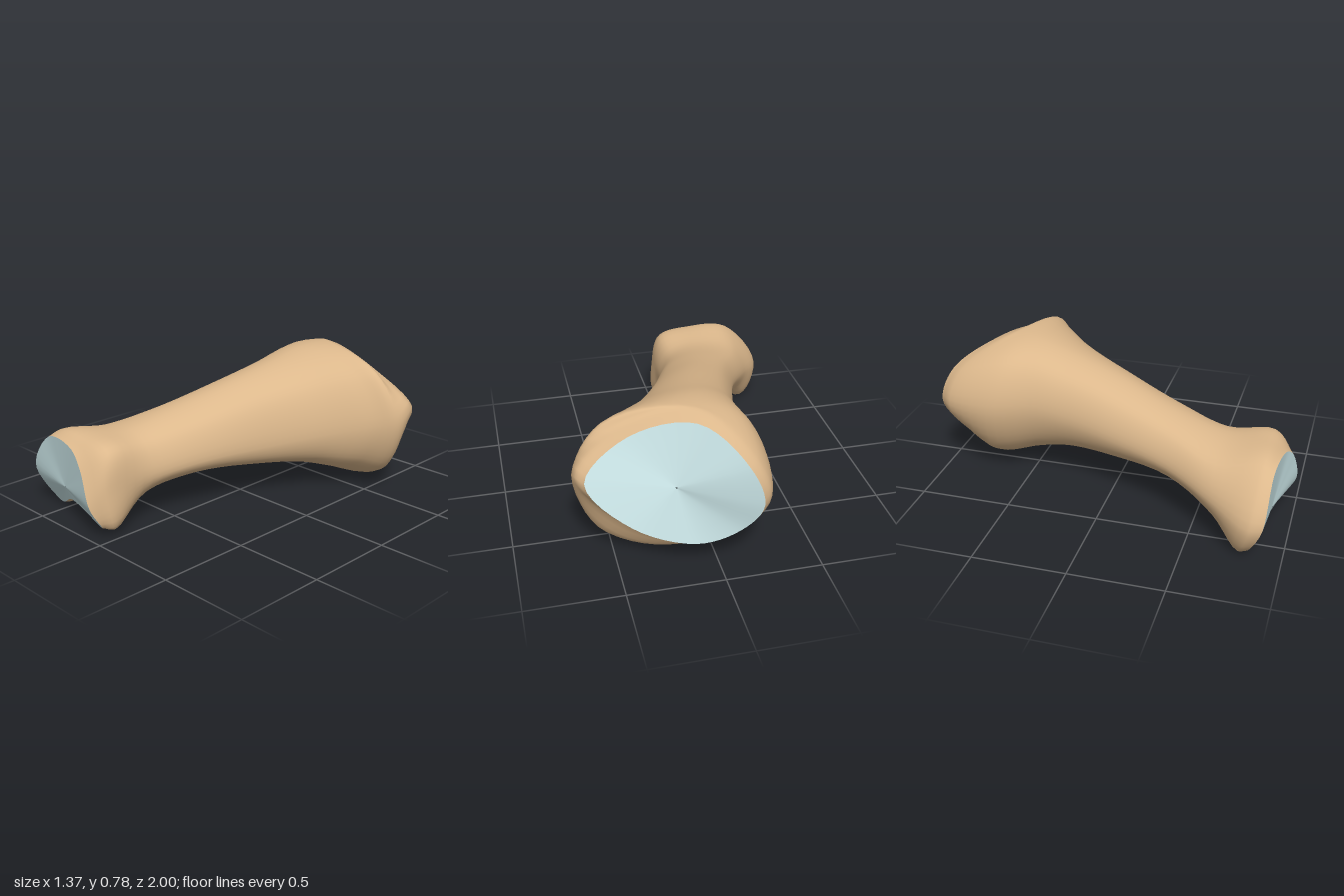
import * as THREE from 'three';

const AROUND = 48; // vertices per ring
const STEPS = 5;   // rings between two control sections
const v = (x, y, z) => new THREE.Vector3(x, y, z);

// Cross-section of eight points, clockwise from the top, from its four extreme points
function section(z, left, leftY, topX, top, right, rightY, bottomX, bottom, lean = 0) {
  return Array.from({ length: 8 }, (_, i) => {
    const a = (i * Math.PI) / 4;
    const round = (t) => (Math.abs(t) < 1e-6 ? 0 : Math.sign(t) * Math.abs(t) ** 0.88);
    const s = round(Math.sin(a));
    const c = round(Math.cos(a));
    const x = THREE.MathUtils.lerp(c >= 0 ? topX : bottomX, s >= 0 ? right : left, Math.abs(s));
    const y = THREE.MathUtils.lerp(s >= 0 ? rightY : leftY, c >= 0 ? top : bottom, Math.abs(c));
    return v(x, y, z + lean * (x + y - 0.6));
  });
}

// Swollen copy of a joint rim, set back into the bone
const swell = (rim, centre, sx, sy, dz) =>
  rim.map((p) => v(centre.x + (p.x - centre.x) * sx, centre.y + (p.y - centre.y) * sy, p.z + dz));

function buildGeometry(points, index) {
  const g = new THREE.BufferGeometry().setFromPoints(points);
  g.setIndex(index);
  g.computeVertexNormals();
  return g;
}

// Smooth closed rings joined lengthwise by splines
function makeRings(sections) {
  const loops = sections.map((s) => {
    const curve = new THREE.CatmullRomCurve3(s, true);
    return Array.from({ length: AROUND }, (_, i) => curve.getPoint(i / AROUND));
  });
  const count = (sections.length - 1) * STEPS;
  const rails = loops[0].map((_, i) => new THREE.CatmullRomCurve3(loops.map((l) => l[i])));
  return Array.from({ length: count + 1 }, (_, j) => rails.map((r) => r.getPoint(j / count)));
}

// Triangles between neighbouring rings
function ringIndex(count, flip) {
  const index = [];
  for (let j = 0; j < count - 1; j++) {
    for (let i = 0; i < AROUND; i++) {
      const a = j * AROUND + i, b = j * AROUND + ((i + 1) % AROUND);
      const c = a + AROUND, d = b + AROUND;
      if (flip) index.push(a, c, b, b, c, d);
      else index.push(a, b, c, b, d, c);
    }
  }
  return index;
}

// Joint surface: rings shrinking from the rim to a centre point
function jointFace(rim, centre, facesFront) {
  const rings = [1, 0.75, 0.5, 0.25, 0.01].map((k) => rim.map((p) => centre.clone().lerp(p, k)));
  return buildGeometry(rings.flat(), ringIndex(rings.length, facesFront));
}

export function createModel() {
  const group = new THREE.Group();
  group.name = 'bone';
  const add = (name, geometry, color) => {
    const mesh = new THREE.Mesh(geometry, new THREE.MeshStandardMaterial({ color }));
    mesh.name = name;
    group.add(mesh);
  };

  // Rims of the joints and the widest ring of the front head, clockwise from the top
  const frontRim = [
    v(-0.27, 0.43, 0.95), v(-0.16, 0.35, 0.98), v(-0.08, 0.17, 0.995), v(-0.065, 0.05, 0.93),
    v(-0.37, 0.1, 0.89), v(-0.58, 0.01, 0.82), v(-0.68, 0.2, 0.9), v(-0.51, 0.43, 0.92),
  ];
  const frontHead = [
    v(-0.25, 0.48, 0.86), v(-0.07, 0.44, 0.87), v(-0.025, 0.25, 0.9), v(-0.035, 0.035, 0.87),
    v(-0.36, 0.1, 0.82), v(-0.58, 0, 0.77), v(-0.685, 0.2, 0.82), v(-0.49, 0.46, 0.85),
  ];
  const backRim = [
    v(0.08, 0.74, -0.72), v(0.41, 0.67, -0.65), v(0.64, 0.48, -0.72), v(0.43, 0.26, -0.83),
    v(0.12, 0.15, -0.88), v(-0.08, 0.24, -0.94), v(-0.18, 0.42, -1), v(-0.12, 0.6, -0.94),
  ];

  // Front head, neck, shaft, flare and back head
  const rings = makeRings([
    frontRim,
    frontHead,
    section(0.62, -0.56, 0.25, -0.22, 0.475, -0.015, 0.25, -0.35, 0.1),
    section(0.35, -0.41, 0.32, -0.16, 0.535, 0.075, 0.29, -0.13, 0.19),
    section(0, -0.305, 0.38, -0.04, 0.64, 0.225, 0.32, 0.03, 0.18),
    section(-0.27, -0.25, 0.42, 0.02, 0.715, 0.395, 0.36, 0.14, 0.145),
    section(-0.45, -0.245, 0.44, 0.05, 0.765, 0.585, 0.41, 0.21, 0.09),
    section(-0.62, -0.285, 0.42, 0.1, 0.78, 0.675, 0.43, 0.26, 0.02, 0.15),
    swell(backRim, v(0.3, 0.43, 0), 1.12, 1.1, 0.07),
    backRim,
  ]);
  add('boneBody', buildGeometry(rings.flat(), ringIndex(rings.length, false)), 0xdcb88c);
  add('frontJointFace', jointFace(rings[0], v(-0.4, 0.17, 0.91), true), 0xc6e0e2);
  add('backJointFace', jointFace(rings[rings.length - 1], v(0.2, 0.43, -0.78), false), 0xc6e0e2);
  return group;
}
